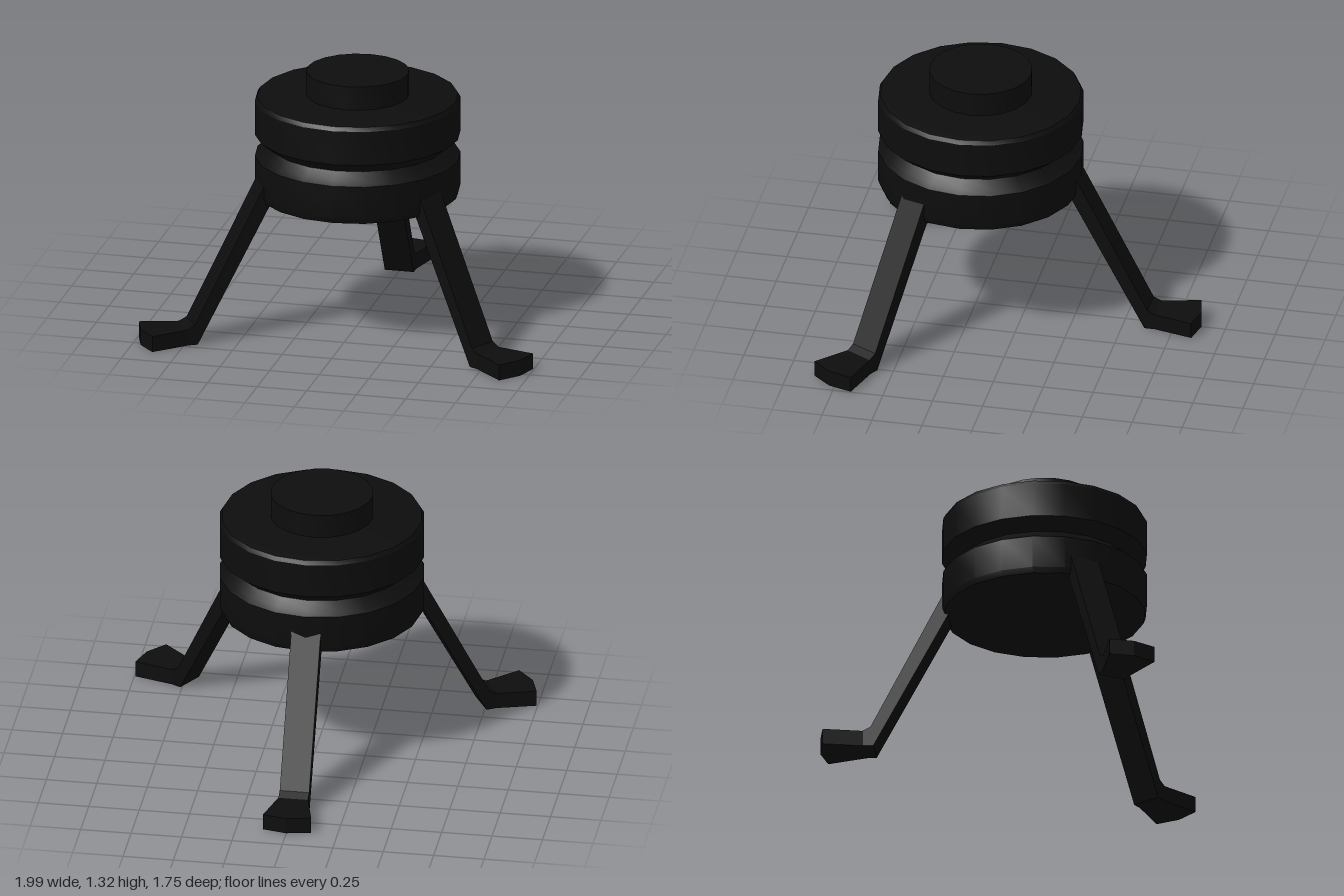
import * as THREE from 'three';
import { toCreasedNormals } from 'three/addons/utils/BufferGeometryUtils.js';

const CENTRE_Z = 0.225;

const toVectors = (pairs) => pairs.map(([x, y]) => new THREE.Vector2(x, y));

// Turned part: 20 sides, smooth around, sharp at the profile corners
function turned(name, profile, material) {
  const geometry = new THREE.LatheGeometry(toVectors(profile), 20);
  const mesh = new THREE.Mesh(toCreasedNormals(geometry, 0.38), material);
  mesh.name = name;
  return mesh;
}

function slab(outline, depth) {
  return new THREE.ExtrudeGeometry(new THREE.Shape(toVectors(outline)), { depth, bevelEnabled: false });
}

export function createModel() {
  const model = new THREE.Group();
  model.name = 'tripodDevice';
  const black = new THREE.MeshStandardMaterial({ color: 0x0d0d0d });
  black.name = 'matteBlack';

  const assembly = new THREE.Group();
  assembly.name = 'assembly';
  assembly.position.z = CENTRE_Z;
  model.add(assembly);

  // Drum with rounded rims and a V groove around its middle
  assembly.add(turned('body', [
    [0, 0.685], [0.46, 0.685], [0.495, 0.692], [0.505, 0.72],
    [0.505, 0.885], [0.475, 0.905], [0.437, 0.942], [0.475, 0.972], [0.505, 0.997],
    [0.505, 1.17], [0.493, 1.19], [0.455, 1.197], [0, 1.197],
  ], black));

  // Raised cap on the drum
  assembly.add(turned('cap', [[0, 1.19], [0.253, 1.19], [0.253, 1.317], [0, 1.317]], black));

  // Leg seen from its side: x runs outwards from the drum's axis
  const legWidth = 0.146;
  const legGeometry = slab([
    [0.835, 0], [0.895, 0], [0.89, 0.08], [0.85, 0.1], [0.45, 0.878], [0.42, 0.774],
  ], legWidth);
  legGeometry.translate(0, 0, -legWidth / 2);

  // Flared foot seen from above, with a blunt point at the toe
  const footGeometry = slab([
    [0.885, -0.073], [1.08, -0.12], [1.105, 0], [1.08, 0.12], [0.885, 0.073],
  ], 0.08);
  footGeometry.rotateX(-Math.PI / 2);

  // One leg to the back, two to the front
  ['back', 'frontRight', 'frontLeft'].forEach((side, i) => {
    const leg = new THREE.Group();
    leg.name = side + 'Leg';
    const strut = new THREE.Mesh(legGeometry, black);
    strut.name = side + 'Strut';
    const foot = new THREE.Mesh(footGeometry, black);
    foot.name = side + 'Foot';
    leg.add(strut, foot);
    leg.rotation.y = Math.PI / 2 + (i * Math.PI * 2) / 3;
    assembly.add(leg);
  });

  return model;
}
